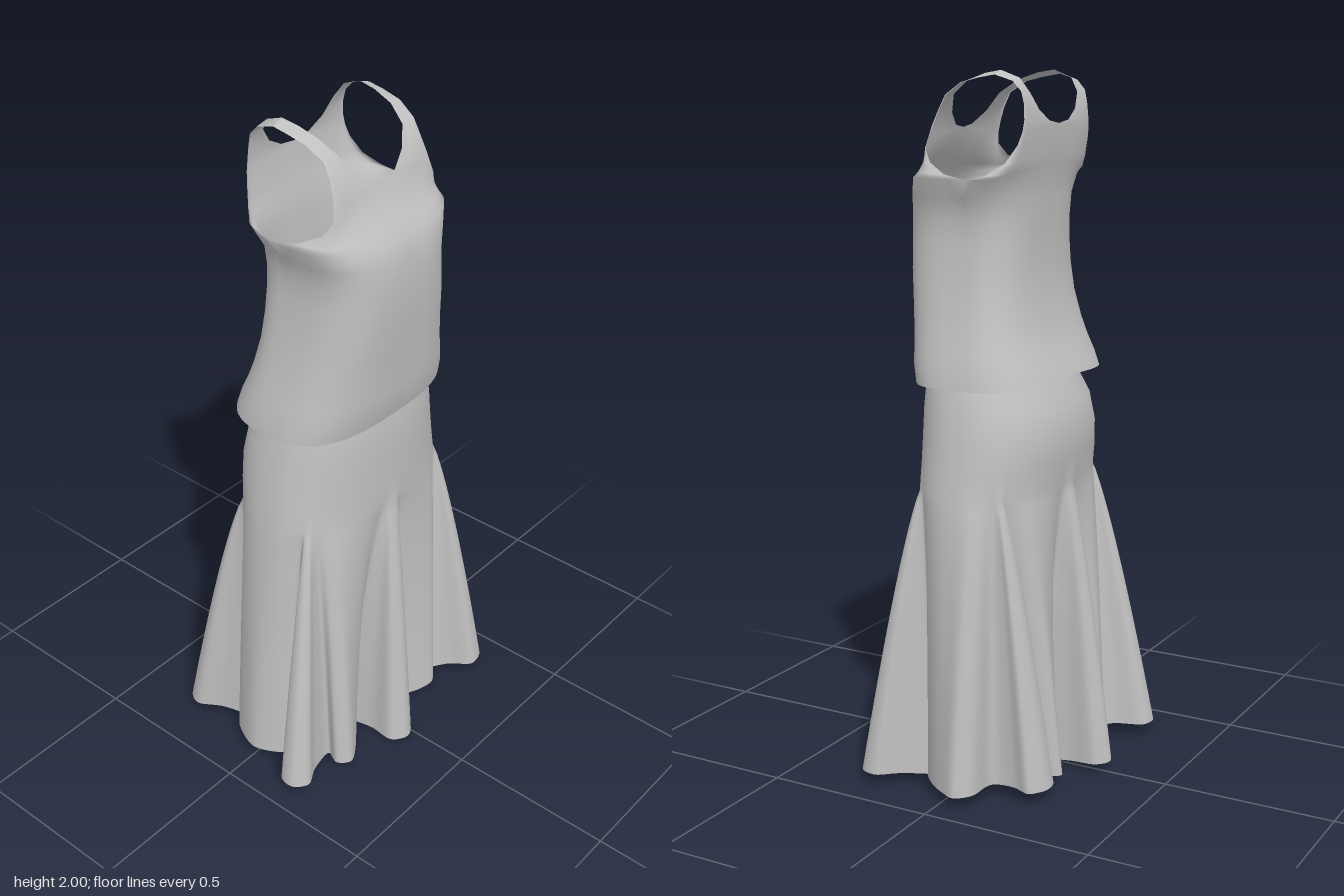
import * as THREE from 'three';
import { mergeGeometries, mergeVertices } from 'three/addons/utils/BufferGeometryUtils.js';

const fabric = new THREE.MeshStandardMaterial({ color: 0xc0c0c0, side: THREE.DoubleSide });
fabric.name = 'greyFabric';

const spow = (v, e) => Math.sign(v) * Math.pow(Math.abs(v), e);

// Surface through a grid of points, rows going up; flip turns the faces round
function gridGeometry(rows, flip = false) {
  const cols = rows[0].length, pos = rows.flat(2), idx = [];
  for (let r = 0; r < rows.length - 1; r++) {
    for (let c = 0; c < cols - 1; c++) {
      const a = r * cols + c, b = a + 1, d = a + cols, e = d + 1;
      if (flip) idx.push(a, d, b, b, d, e);
      else idx.push(a, b, d, b, e, d);
    }
  }
  const g = new THREE.BufferGeometry();
  g.setAttribute('position', new THREE.Float32BufferAttribute(pos, 3));
  g.setIndex(idx);
  return g;
}

function weldedMesh(name, parts) {
  const g = mergeVertices(mergeGeometries(parts), 1e-4);
  g.computeVertexNormals();
  const mesh = new THREE.Mesh(g, fabric);
  mesh.name = name;
  return mesh;
}

// Torso rings: height, half width, front z, back z, back height
const TORSO = [
  [1.152, 0.317, 0.212, -0.198, 1.168], [1.2, 0.309, 0.224, -0.182, 1.205], [1.25, 0.294, 0.229, -0.16, 1.25],
  [1.3, 0.279, 0.232, -0.143, 1.3], [1.38, 0.258, 0.239, -0.124, 1.38], [1.46, 0.242, 0.246, -0.117, 1.46],
  [1.54, 0.23, 0.25, -0.116, 1.54], [1.6, 0.226, 0.25, -0.119, 1.6], [1.66, 0.234, 0.247, -0.122, 1.66],
];
// Yoke rows: inner (centre or neckline) x, y, z, then outer (armhole) x, y, z
const FRONT_YOKE = [
  [0, 1.7, 0.232, 0.263, 1.714, 0], [0, 1.74, 0.207, 0.245, 1.726, 0.075],
  [0, 1.785, 0.182, 0.217, 1.755, 0.135], [0, 1.82, 0.168, 0.202, 1.79, 0.158],
  [0, 1.842, 0.158, 0.194, 1.82, 0.153], [0.045, 1.85, 0.155, 0.188, 1.85, 0.143],
  [0.095, 1.885, 0.137, 0.182, 1.89, 0.128], [0.127, 1.935, 0.112, 0.18, 1.935, 0.105],
  [0.143, 1.972, 0.06, 0.186, 1.967, 0.055], [0.15, 1.992, 0, 0.188, 1.98, 0],
  [0.153, 2, -0.05, 0.188, 1.988, -0.05],
];
const BACK_YOKE = [
  [0, 1.7, -0.125, 0.263, 1.714, 0], [0, 1.75, -0.135, 0.25, 1.726, -0.055],
  [0, 1.79, -0.14, 0.224, 1.758, -0.1], [0, 1.83, -0.144, 0.204, 1.805, -0.128],
  [0, 1.858, -0.146, 0.195, 1.84, -0.138], [0.055, 1.866, -0.146, 0.189, 1.87, -0.14],
  [0.105, 1.895, -0.141, 0.186, 1.91, -0.138], [0.138, 1.94, -0.131, 0.188, 1.945, -0.13],
  [0.15, 1.98, -0.105, 0.19, 1.972, -0.105], [0.153, 2, -0.05, 0.188, 1.988, -0.05],
];

// One quarter of the top, from centre line or neckline to side seam or armhole
function topQuarter(side, front) {
  const body = TORSO.map(([y, w, zf, zb, yb]) => [0, front ? y : yb, front ? zf : zb, w, y, 0.02]);
  const rows = [...body, ...(front ? FRONT_YOKE : BACK_YOKE)].map(([x0, y0, z0, x1, y1, z1]) => {
    // the front grows squarer from the hem up to the chest
    const power = front ? 0.73 - 0.15 * THREE.MathUtils.smoothstep(y1, 1.15, 1.5) : 0.69;
    const row = [];
    for (let i = 0; i <= 16; i++) {
      const a = (i / 16) * Math.PI / 2;
      const u = i === 16 ? 1 : spow(Math.sin(a), power);
      const v = i === 16 ? 0 : spow(Math.cos(a), power);
      row.push([side * (x0 + (x1 - x0) * u), y0 + (y1 - y0) * u, z1 + (z0 - z1) * v]);
    }
    return row;
  });
  return gridGeometry(rows, (side > 0) !== front);
}

// Skirt rings above the godets: height, half width, front z, back z
const HIPS = [
  [0.86, 0.333, 0.21, -0.187], [0.93, 0.322, 0.21, -0.197], [1, 0.31, 0.211, -0.201],
  [1.08, 0.295, 0.211, -0.187], [1.15, 0.275, 0.206, -0.148], [1.22, 0.256, 0.192, -0.125],
  [1.3, 0.235, 0.168, -0.115],
];
function hipPoint([y, w, zf, zb], deg) {
  const a = THREE.MathUtils.degToRad(deg);
  return [w * spow(Math.sin(a), 0.85), y, (zf + zb) / 2 + (zf - zb) / 2 * spow(Math.cos(a), 0.85)];
}

// Hem of a godet: a narrow fold from its inner neck to a rounded tip
function godet(deg, nx, nz, tx, tz, half) {
  const len = Math.hypot(tx - nx, tz - nz), dx = (tx - nx) / len, dz = (tz - nz) / len;
  return [[-5, 0, -1.25], [-3, 0.45, -0.88], [-1.5, 0.84, -1], [0, 1, 0],
    [1.5, 0.84, 1], [3, 0.45, 0.88], [5, 0, 1.25]].map(([da, d, s]) =>
    [deg + da, nx + dx * len * d + dz * half * s, nz + dz * len * d - dx * half * s]);
}

// Whole hem outline: angle on the hip ring, x, z
function hemCurve() {
  const pts = [
    ...godet(0, -0.035, 0.115, -0.028, 0.312, 0.05),
    [12, 0.08, 0.17], [25, 0.14, 0.212], [37, 0.2, 0.228], [45, 0.235, 0.2],
    ...godet(55, 0.27, 0.13, 0.397, 0.272, 0.05),
    [68, 0.335, 0.09], [80, 0.382, 0.048], [94, 0.42, 0], [105, 0.449, -0.058], [113, 0.405, -0.1],
    ...godet(125, 0.245, -0.12, 0.275, -0.262, 0.055),
    [137, 0.185, -0.2], [145, 0.155, -0.245], [156, 0.11, -0.215], [166, 0.06, -0.17],
    ...godet(180, -0.018, -0.11, -0.018, -0.317, 0.043),
    [194, -0.08, -0.175], [204, -0.13, -0.23], [215, -0.175, -0.222], [224, -0.205, -0.17],
    ...godet(235, -0.255, -0.12, -0.342, -0.308, 0.048),
    [248, -0.35, -0.1], [260, -0.385, -0.04], [272, -0.394, 0.01], [284, -0.365, 0.07], [293, -0.32, 0.11],
    ...godet(305, -0.28, 0.135, -0.447, 0.205, 0.044),
    [316, -0.275, 0.23], [323, -0.24, 0.26], [333, -0.19, 0.235], [345, -0.13, 0.185],
  ];
  pts.push([pts[0][0] + 360, pts[0][1], pts[0][2]]);
  return new THREE.CatmullRomCurve3(pts.map(([a, x, z]) => new THREE.Vector3(x, a, z)), false, 'catmullrom', 0.45);
}

function skirtGeometry() {
  const hem = hemCurve().getPoints(64 * 5);
  const rows = [];
  // flared part, from the hem up to the godet points
  for (let k = 0; k < 24; k++) {
    const t = 1 - k / 24, f = Math.pow(t, 0.8);
    rows.push(hem.map((h) => {
      const [x, y, z] = hipPoint(HIPS[0], h.y);
      // the hem lies lowest at the centre front
      const hemY = Math.min(0.04, 0.09 * Math.abs(h.x) + Math.max(0, -0.08 * h.z));
      return [x + (h.x - x) * f, y + (hemY - y) * t, z + (h.z - z) * f];
    }));
  }
  // fitted hips and waist
  for (const ring of HIPS) rows.push(hem.map((h) => hipPoint(ring, h.y)));
  return gridGeometry(rows);
}

export function createModel() {
  const group = new THREE.Group();
  group.name = 'topAndSkirt';
  const quarters = [];
  for (const side of [1, -1]) for (const front of [true, false]) quarters.push(topQuarter(side, front));
  group.add(weldedMesh('sleevelessTop', quarters));
  group.add(weldedMesh('godetSkirt', [skirtGeometry()]));
  return group;
}
